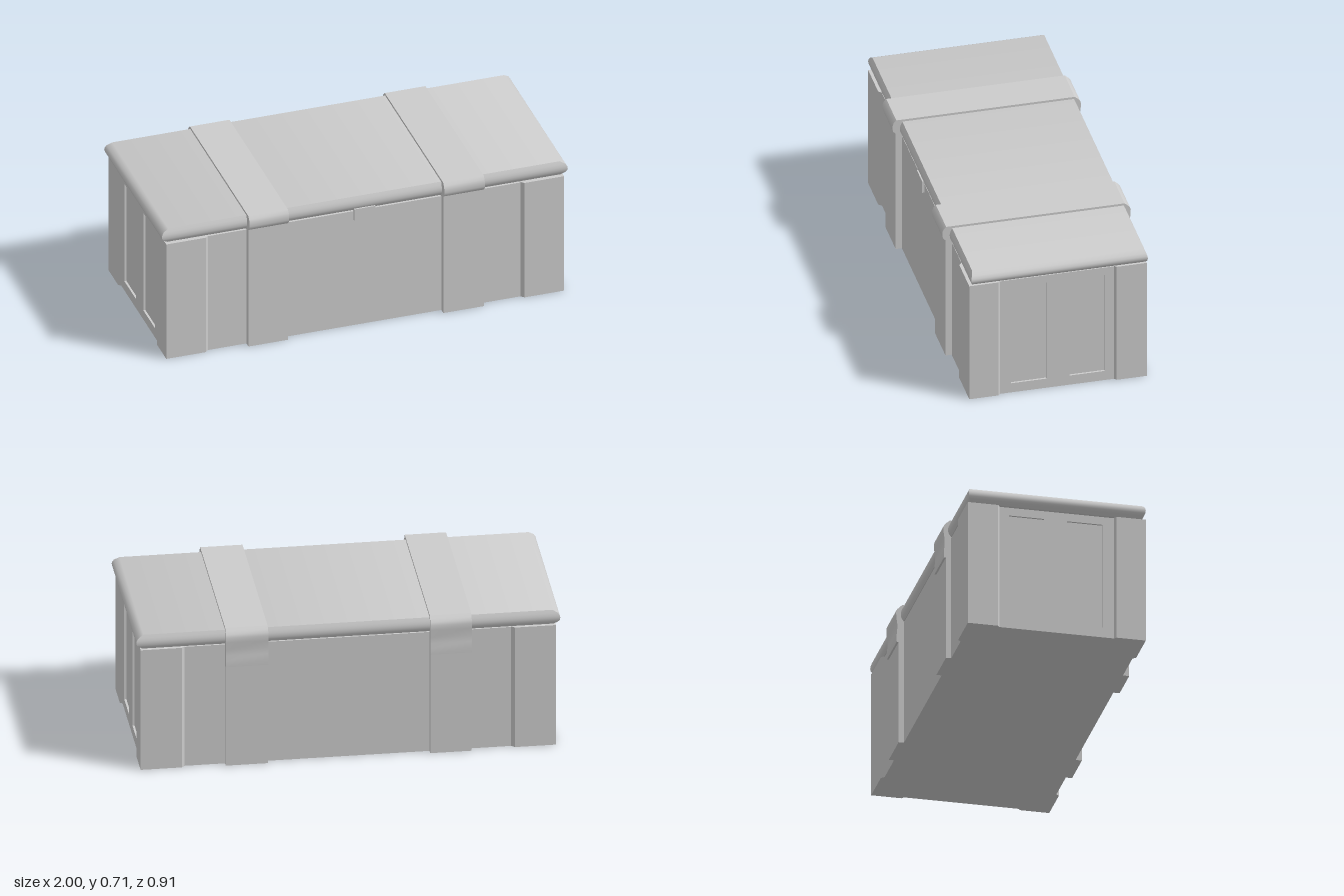
import * as THREE from 'three';
import { toCreasedNormals } from 'three/addons/utils/BufferGeometryUtils.js';

const material = new THREE.MeshStandardMaterial({ color: 0xcccccc });

function add(parent, name, geometry) {
  const mesh = new THREE.Mesh(geometry, material);
  mesh.name = name;
  parent.add(mesh);
  return mesh;
}

function box(x0, x1, y0, y1, z0, z1) {
  return new THREE.BoxGeometry(x1 - x0, y1 - y0, z1 - z0)
    .translate((x0 + x1) / 2, (y0 + y1) / 2, (z0 + z1) / 2);
}

const shapeOf = (points) => new THREE.Shape(points.map(([a, b]) => new THREE.Vector2(a, b)));

// Extrudes a (z, y) outline along x from x0 to x1
function extrudeX(shape, x0, x1) {
  return new THREE.ExtrudeGeometry(shape, { depth: x1 - x0, bevelEnabled: false })
    .rotateY(-Math.PI / 2).translate(x1, 0, 0);
}

// Corner post: L-shaped plan with chamfered inner edges, standing on the ground
function cornerPost(sx, sz) {
  const zOff = sz > 0 ? 0.425 : 0.43;
  const plan = [[0.98, zOff], [0.785, zOff], [0.77, zOff - 0.015], [0.77, 0.35],
    [0.9, 0.35], [0.9, 0.275], [0.968, 0.275], [0.98, 0.285]];
  const shape = shapeOf(plan.map(([x, z]) => [x * sx, -z * sz]));
  return new THREE.ExtrudeGeometry(shape, { depth: 0.623, bevelEnabled: false }).rotateX(-Math.PI / 2);
}

// Lid: a box whose side rows follow a rounded edge profile [half x, y, half z]
function lidGeometry() {
  const profile = [[0.965, 0.698, 0.413], [0.99, 0.683, 0.42], [0.998, 0.67, 0.424], [1, 0.66, 0.425],
    [0.997, 0.648, 0.424], [0.988, 0.638, 0.42], [0.97, 0.625, 0.411]];
  const rows = profile.length - 1;
  const geometry = new THREE.BoxGeometry(2, rows, 2, 1, rows, 1);
  const p = geometry.attributes.position;
  for (let i = 0; i < p.count; i++) {
    const [hx, y, hz] = profile[Math.round(rows / 2 - p.getY(i))];
    p.setXYZ(i, p.getX(i) * hx, y, p.getZ(i) * hz - 0.005);
  }
  return toCreasedNormals(geometry, 0.55);
}

export function createModel() {
  const model = new THREE.Group();
  model.name = 'storageChest';

  // Body core
  add(model, 'body', box(-0.958, 0.958, 0, 0.62, -0.415, 0.41));

  // Posts at the four corners
  for (const sx of [-1, 1]) for (const sz of [-1, 1]) add(model, 'cornerPost', cornerPost(sx, sz));

  // End boards with two recessed panels each
  for (const side of [-1, 1]) {
    const board = shapeOf([[-0.3, 0], [0.3, 0], [0.3, 0.62], [-0.3, 0.62]]);
    for (const [z0, z1] of [[0.05, 0.22], [-0.23, -0.06]]) {
      board.holes.push(new THREE.Path([[z0, 0.05], [z0, 0.58], [z1, 0.58], [z1, 0.05]]
        .map(([z, y]) => new THREE.Vector2(z, y))));
    }
    const x0 = side > 0 ? 0.95 : -0.968;
    add(model, 'endBoard', extrudeX(board, x0, x0 + 0.018));
  }

  add(model, 'lid', lidGeometry());

  // Straps: a band around the body and a cap over the lid with a rear hinge flap
  const cap = shapeOf([[0.44, 0.635], [0.452, 0.648], [0.455, 0.66], [0.455, 0.68], [0.45, 0.695], [0.437, 0.709],
    [-0.422, 0.709], [-0.436, 0.697], [-0.448, 0.684], [-0.452, 0.67], [-0.451, 0.645], [-0.446, 0.605],
    [-0.447, 0.575], [-0.45, 0.55], [-0.449, 0.517], [-0.43, 0.517], [-0.4, 0.635]]);
  for (const side of [-1, 1]) {
    const strap = new THREE.Group();
    strap.name = side > 0 ? 'leftStrap' : 'rightStrap';
    const [x0, x1] = side > 0 ? [0.38, 0.58] : [-0.58, -0.385];
    add(strap, 'bodyBand', box(x0, x1, 0, 0.635, -0.44, 0.44));
    add(strap, 'lidBand', toCreasedNormals(extrudeX(cap, x0, x1), 0.7));
    model.add(strap);
  }

  // Front clasp
  add(model, 'clasp', box(-0.052, 0.052, 0.573, 0.635, 0.4, 0.421));

  return model;
}
